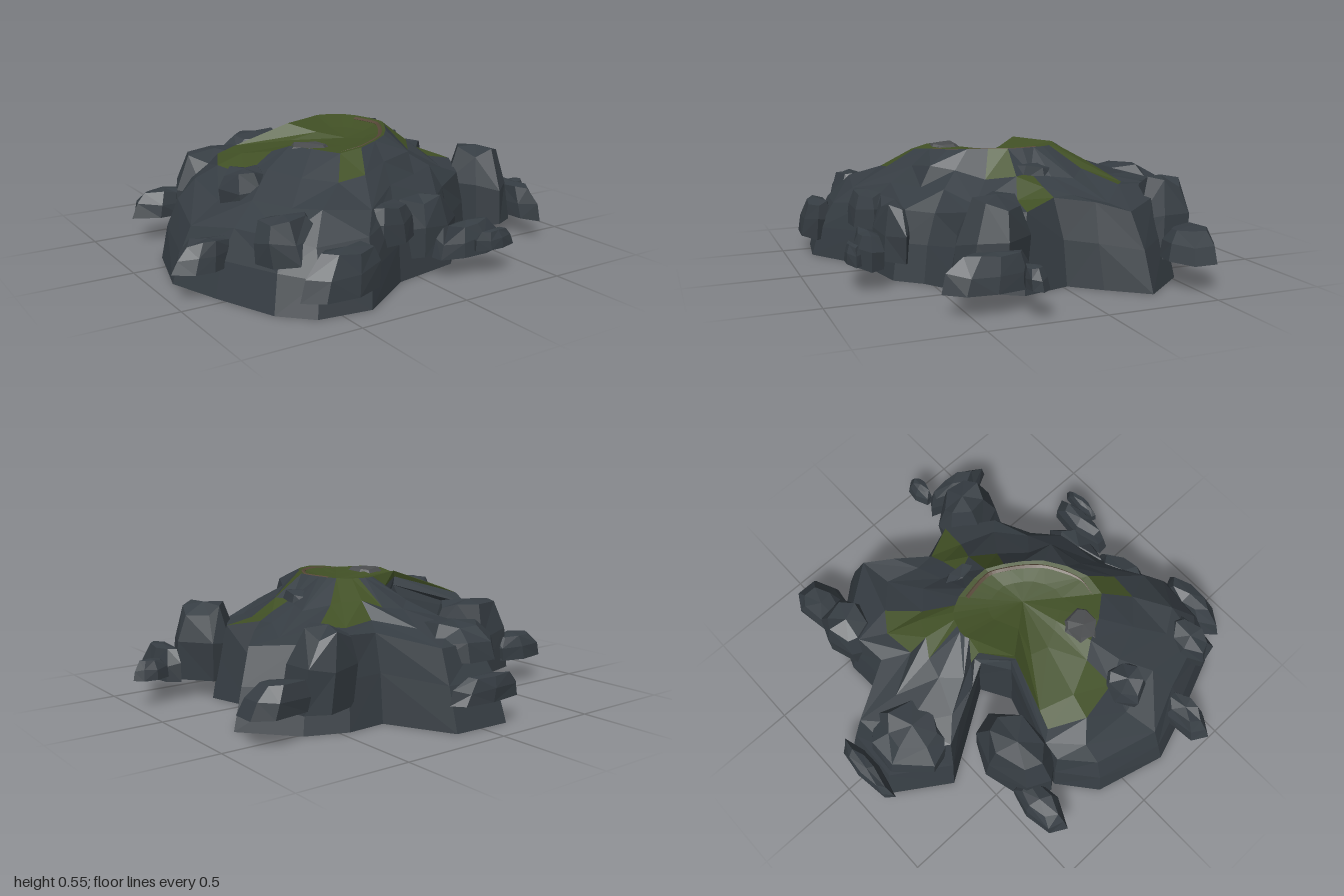
import * as THREE from 'three';

const mat = (color) => new THREE.MeshStandardMaterial({ color, flatShading: true });
const lerp = THREE.MathUtils.lerp;

// Small repeatable noise in -1..1
const noise = (a, b = 0) => {
  const s = Math.sin(a * 127.1 + b * 311.7) * 43758.5453;
  return (s - Math.floor(s)) * 2 - 1;
};

// Spokes around the island: ground x, z, shoulder height, plateau rim x, z, y
const SPOKES = [
  [-0.06, -0.20, 0.42, -0.02, -0.16, 0.55],
  [-0.20, -0.42, 0.38, 0.02, -0.18, 0.55],
  [-0.32, -0.61, 0.36, 0.04, -0.19, 0.55],
  [-0.14, -0.88, 0.34, 0.07, -0.19, 0.55],
  [0.13, -0.87, 0.34, 0.10, -0.18, 0.55],
  [0.28, -0.58, 0.38, 0.13, -0.17, 0.55],
  [0.46, -0.59, 0.38, 0.16, -0.15, 0.55],
  [0.64, -0.52, 0.36, 0.18, -0.12, 0.55],
  [0.83, -0.30, 0.32, 0.20, -0.08, 0.55],
  [0.70, -0.14, 0.35, 0.21, -0.03, 0.55],
  [0.59, -0.02, 0.36, 0.22, 0.03, 0.55],
  [0.65, 0.20, 0.35, 0.22, 0.10, 0.55],
  [0.52, 0.40, 0.33, 0.18, 0.18, 0.55],
  [0.32, 0.53, 0.30, 0.13, 0.26, 0.545],
  [0.22, 0.64, 0.30, 0.07, 0.33, 0.54],
  [-0.10, 0.70, 0.28, -0.02, 0.39, 0.535],
  [-0.37, 0.88, 0.25, -0.12, 0.43, 0.525],
  [-0.60, 0.85, 0.25, -0.22, 0.42, 0.51],
  [-0.72, 0.73, 0.28, -0.30, 0.32, 0.52],
  [-0.83, 0.45, 0.27, -0.35, 0.22, 0.52],
  [-0.91, 0.21, 0.23, -0.40, 0.15, 0.49],
  [-0.82, -0.12, 0.27, -0.47, 0.00, 0.46],
  [-0.65, -0.26, 0.33, -0.42, -0.16, 0.46],
  [-0.20, -0.12, 0.42, -0.18, -0.09, 0.55],
];
const N = SPOKES.length;
const CENTRE = [0, 0.5, 0.13];

// Slope profile: fraction towards the rim, height below the shoulder, height above it, roughness
const PROFILE = [
  [0, 0, 0, 0], [0.08, 0.55, 0, 0], [0.18, 1, 0, 0.02],
  [0.42, 1, 0.38, 0.03], [0.72, 1, 0.7, 0.02], [1, 1, 1, 0],
];

// Slope facets covered in grass, as band: spokes
const GRASS = { 2: [10], 3: [5, 6, 10], 4: [0, 4, 5, 6, 11, 16, 20, 21, 22, 23] };

function facets(name, corners, material) {
  const g = new THREE.BufferGeometry();
  g.setAttribute('position', new THREE.Float32BufferAttribute(corners.flat(), 3));
  g.computeVertexNormals();
  const mesh = new THREE.Mesh(g, material);
  mesh.name = name;
  return mesh;
}

// Two triangles between neighbouring spokes of a lower and an upper ring
function quad(out, low, high, i) {
  const j = (i + 1) % low.length;
  if (i % 2) out.push(low[j], low[i], high[i], low[j], high[i], high[j]);
  else out.push(low[j], low[i], high[j], low[i], high[i], high[j]);
}

// Chunky boulder, lofted from a base, a shoulder and an off-centre sloping crown
function boulder(name, [x, z, w, d, y0, y1], seed, material) {
  const sides = 7;
  const levels = [[0, 1], [0.5, 0.93], [0.92, 0.64]];
  const lean = [noise(seed, 3) * 0.06 * w, noise(seed, 5) * 0.06 * d];
  const plan = Array.from({ length: sides }, (_, i) => {
    const a = ((i + noise(i, seed) * 0.25) / sides) * Math.PI * 2 + seed;
    return [Math.cos(a), Math.sin(a)];
  });
  // Fit the ground plan exactly into the given width and depth
  const [fitX, fitZ] = [0, 1].map((axis) => {
    const v = plan.map((p) => p[axis]);
    const lo = Math.min(...v), hi = Math.max(...v);
    return (t) => (t - (lo + hi) / 2) / (hi - lo);
  });
  const rings = levels.map(([h, scale], k) => plan.map(([px, pz], i) => {
    const r = scale * (1 + (k ? noise(i + 9 * k, seed) * 0.08 : 0));
    const lift = k ? noise(i + 30 * k, seed) * 0.08 : 0;
    return [
      x + fitX(px) * r * w + lean[0] * k,
      lerp(y0, y1, h + lift),
      z + fitZ(pz) * r * d + lean[1] * k,
    ];
  }));
  const out = [];
  for (let k = 0; k < 2; k++) for (let i = 0; i < sides; i++) quad(out, rings[k], rings[k + 1], i);
  const top = [x + lean[0] * 2, y1, z + lean[1] * 2];
  for (let i = 0; i < sides; i++) {
    const j = (i + 1) % sides;
    out.push(top, rings[2][j], rings[2][i]);
    out.push([x, y0, z], rings[0][i], rings[0][j]);
  }
  return facets(name, out, material);
}

export function createModel() {
  const model = new THREE.Group();
  model.name = 'rockyIsland';
  const rockMat = mat(0x363d43);
  const paleMat = mat(0x4a4c4e);
  const grassMat = mat(0x415025);
  const pathMat = mat(0x574838);

  // Cliff and slope rings; the slope is hollow at the back and right, fuller at the left
  const rings = PROFILE.map(([t, wall, slope, rough], k) => SPOKES.map(([x, z, s, rx, rz, ry], i) => [
    lerp(x, rx, t) + rough * noise(i, k),
    wall * s + slope ** (i < 13 ? 2.1 : 1) * (ry - s) + rough * 0.7 * noise(i, k + 20),
    lerp(z, rz, t) + rough * noise(i, k + 40),
  ]));
  const rock = [], grass = [];
  for (let k = 0; k < rings.length - 1; k++) {
    for (let i = 0; i < N; i++) quad(GRASS[k]?.includes(i) ? grass : rock, rings[k], rings[k + 1], i);
  }
  model.add(facets('cliffs', rock, rockMat));

  // Grassy plateau, sunk towards its middle
  const rim = rings[rings.length - 1];
  const inward = (p, t, y) => [lerp(p[0], CENTRE[0], t), y, lerp(p[2], CENTRE[2], t)];
  const bowl = rim.map((p) => inward(p, 0.5, lerp(p[1], CENTRE[1], 0.65)));
  for (let i = 0; i < N; i++) {
    quad(grass, rim, bowl, i);
    grass.push(CENTRE, bowl[(i + 1) % N], bowl[i]);
  }
  model.add(facets('grass', grass, grassMat));

  // Flat underside
  const floor = new THREE.ShapeGeometry(new THREE.Shape(SPOKES.map(([x, z]) => new THREE.Vector2(x, z))));
  floor.rotateX(Math.PI / 2);
  const underside = new THREE.Mesh(floor, rockMat);
  underside.name = 'underside';
  model.add(underside);

  // Worn footpath along the inside of the rim
  const trail = rim.slice(8, 18).map((p) => new THREE.Vector3(...inward(p, 0.12, p[1] - 0.013)));
  const path = new THREE.Mesh(
    new THREE.TubeGeometry(new THREE.CatmullRomCurve3(trail), 36, 0.012, 5), pathMat);
  path.name = 'footpath';
  model.add(path);

  // Boulders: x, z, width, depth, bottom, top
  const boulders = [
    [-0.02, -0.875, 0.37, 0.10, 0.12, 0.23],
    [-0.70, -0.40, 0.31, 0.16, 0.12, 0.24],
    [-0.45, -0.33, 0.44, 0.30, 0.08, 0.42],
    [0.54, -0.48, 0.30, 0.27, 0.10, 0.44],
    [0.76, -0.50, 0.29, 0.21, 0.12, 0.25],
    [0.61, 0.35, 0.31, 0.32, 0.08, 0.43],
    [0.80, 0.42, 0.13, 0.37, 0.09, 0.24],
    [0.92, 0.27, 0.16, 0.09, 0.12, 0.21],
    [0.06, 0.59, 0.42, 0.20, 0.08, 0.33],
    [0.21, 0.75, 0.34, 0.12, 0.09, 0.23],
    [0.29, 0.83, 0.21, 0.06, 0.12, 0.20],
    [-0.50, 0.84, 0.35, 0.15, 0.08, 0.26],
    [-0.86, 0.40, 0.28, 0.15, 0.12, 0.24],
    [-0.55, 0.23, 0.25, 0.22, 0.28, 0.455],
    [-0.08, -0.64, 0.38, 0.34, 0.26, 0.41],
    [0.28, 0.02, 0.16, 0.28, 0.34, 0.49],
    [-0.59, 0.65, 0.30, 0.20, 0.18, 0.36],
    [-0.18, 0.65, 0.36, 0.18, 0.18, 0.34],
  ];
  boulders.forEach((b, i) => model.add(boulder('boulder', b, i + 1, rockMat)));
  model.add(boulder('plateauStone', [-0.29, 0.25, 0.22, 0.19, 0.45, 0.53], 21, paleMat));

  return model;
}
